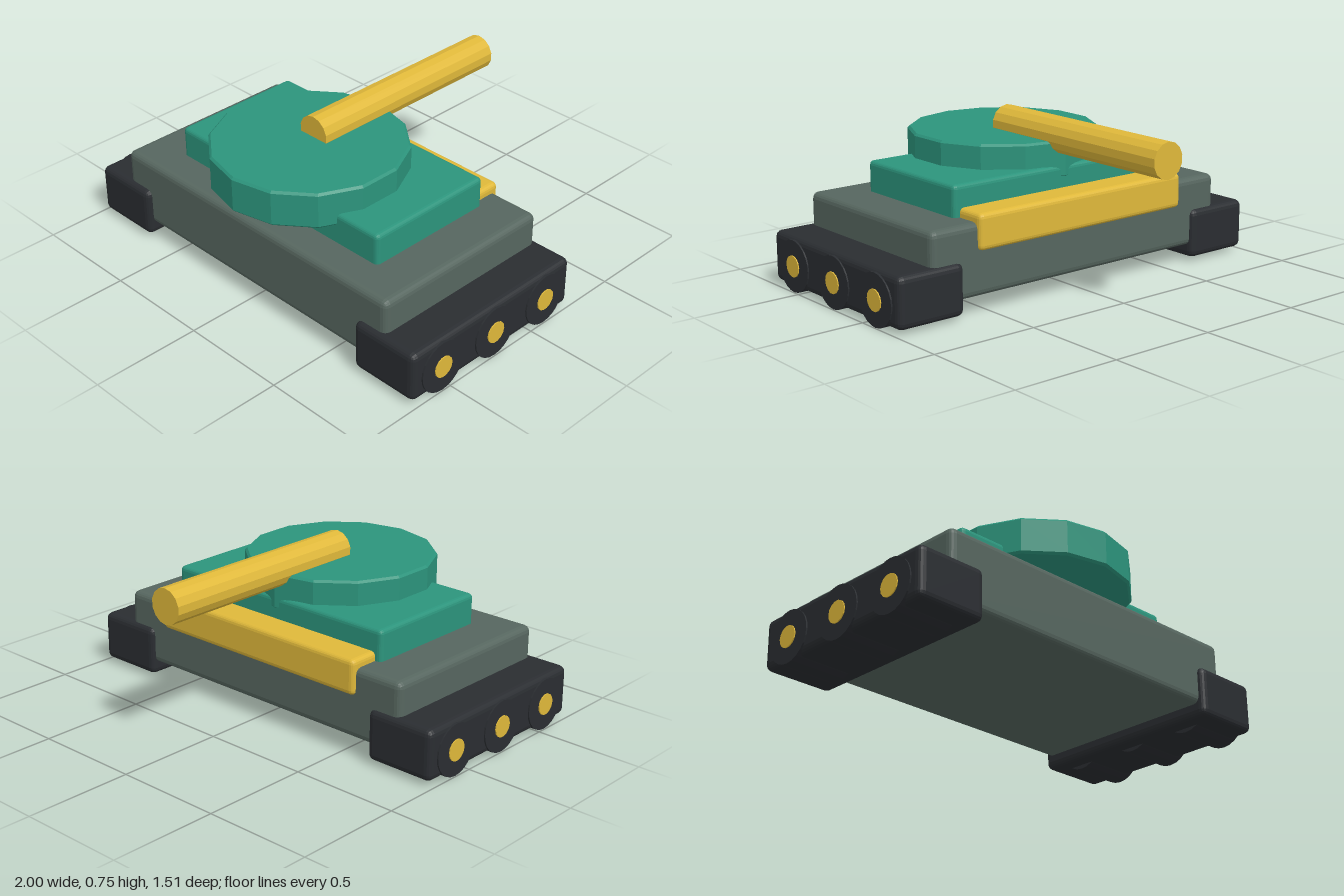
import * as THREE from 'three';
import { RoundedBoxGeometry } from 'three/addons/geometries/RoundedBoxGeometry.js';

const material = (color) => new THREE.MeshStandardMaterial({ color, flatShading: true });

export function createModel() {
  const model = new THREE.Group();
  model.name = 'tank';
  const grey = material(0x56665f);
  const teal = material(0x2c947c);
  const gold = material(0xdfb83a);
  const dark = material(0x2a2d31);

  const add = (name, geometry, mat, parent = model) => {
    const mesh = new THREE.Mesh(geometry, mat);
    mesh.name = name;
    parent.add(mesh);
    return mesh;
  };

  // Soft-edged box given by its minimum and maximum corners
  const box = (name, min, max, radius, mat, parent) => {
    const size = max.map((v, i) => v - min[i]);
    const mesh = add(name, new RoundedBoxGeometry(...size, 2, radius), mat, parent);
    mesh.position.set(...max.map((v, i) => (v + min[i]) / 2));
    return mesh;
  };

  // Body
  box('hull', [-0.81, 0.08, -0.23], [0.81, 0.4, 0.68], 0.03, grey);
  box('upperDeck', [-0.605, 0.36, -0.11], [0.605, 0.54, 0.52], 0.02, teal);
  box('rearBox', [-0.575, 0.28, -0.25], [0.575, 0.44, -0.08], 0.022, gold);

  // Faceted turret with a small bevel on both rims
  const profile = [[0, 0], [0.425, 0], [0.435, 0.01], [0.435, 0.157], [0.425, 0.167], [0, 0.167]];
  const turret = add('turret',
    new THREE.LatheGeometry(profile.map(([r, y]) => new THREE.Vector2(r, y)), 14), teal);
  turret.position.set(0, 0.484, 0.32);

  // Barrel lying along z
  const barrel = add('barrel', new THREE.CylinderGeometry(0.08, 0.08, 1.05, 14), gold);
  barrel.rotation.x = Math.PI / 2;
  barrel.position.set(0, 0.67, -0.23);

  // Tracks with three wheels and hubs on each side
  for (const side of [1, -1]) {
    const track = new THREE.Group();
    track.name = side > 0 ? 'leftTrack' : 'rightTrack';
    model.add(track);
    const inner = side * 0.655, outer = side * 0.988;
    box('trackBody', [Math.min(inner, outer), 0.02, -0.25], [Math.max(inner, outer), 0.25, 0.707],
      0.03, dark, track);
    for (const z of [0.54, 0.227, -0.086]) {
      const wheel = add('wheel', new THREE.CylinderGeometry(0.118, 0.118, 0.267, 24), dark, track);
      wheel.rotation.z = Math.PI / 2;
      wheel.position.set(side * 0.8615, 0.12, z);
      const hub = add('hub', new THREE.CylinderGeometry(0.049, 0.049, 0.06, 14), gold, track);
      hub.rotation.z = Math.PI / 2;
      hub.position.set(side * 0.97, 0.12, z);
    }
  }
  return model;
}
